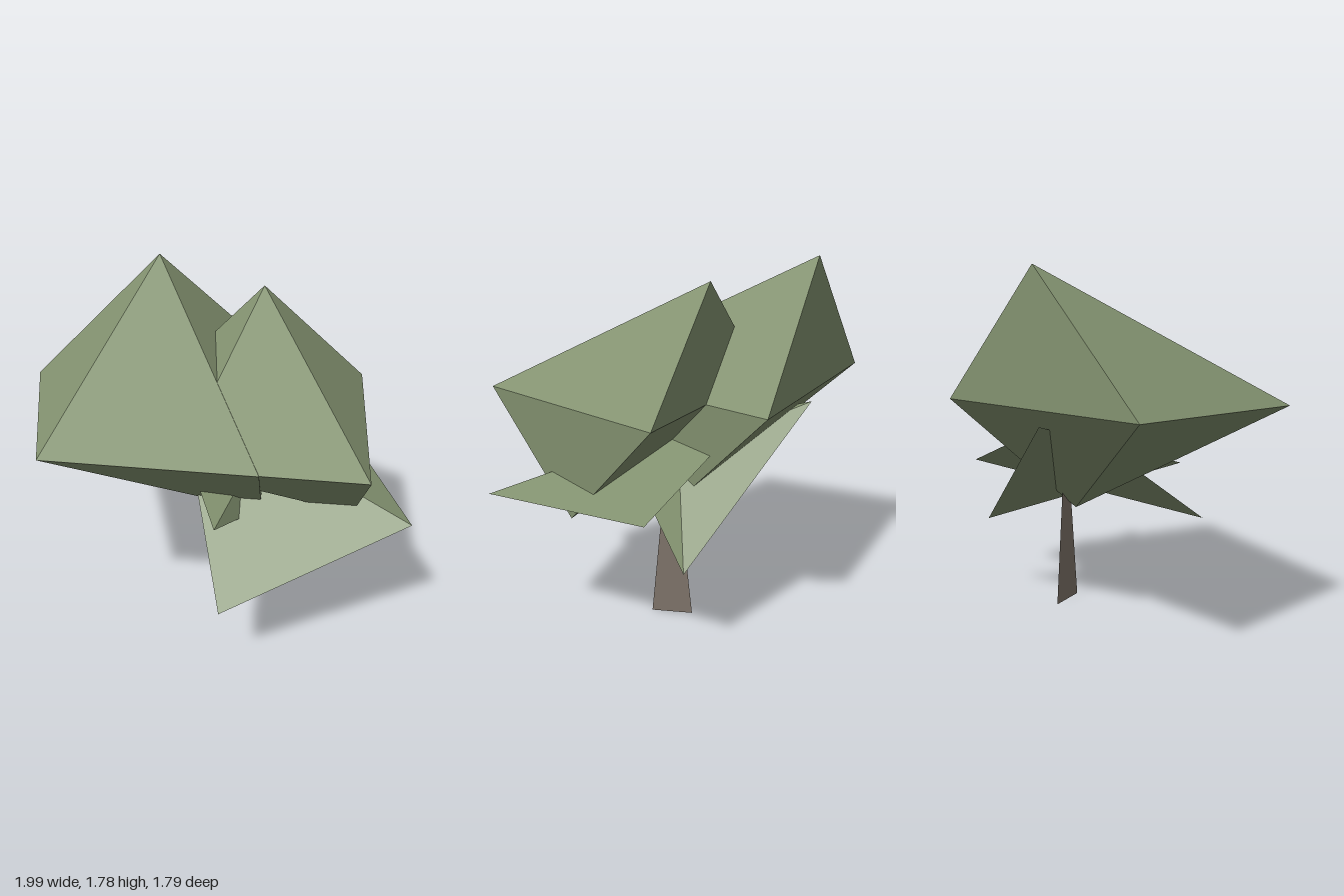
import * as THREE from 'three';
import { ConvexGeometry } from 'three/addons/geometries/ConvexGeometry.js';

const V = (x, y, z) => new THREE.Vector3(x, y, z);

export function createModel() {
  const tree = new THREE.Group();
  tree.name = 'tree';

  const leaf = new THREE.MeshStandardMaterial({ color: 0x82916f, flatShading: true });
  leaf.name = 'leaf green';
  const bark = new THREE.MeshStandardMaterial({ color: 0x80756b, flatShading: true, side: THREE.DoubleSide });
  bark.name = 'bark brown';

  const addClump = (name, points) => {
    const mesh = new THREE.Mesh(new ConvexGeometry(points), leaf);
    mesh.name = name;
    tree.add(mesh);
  };

  // Large crowns: a kite-shaped rim with leaning top and bottom points
  const kite = [
    [-0.8, 0, 0], [0, 0, 0.58], [0.8, 0, 0], [0, 0, -1.1],
    [-0.38, 0.63, -0.54], [0.38, -0.63, -0.54],
  ];
  const crown = (name, scale, x, y, z) =>
    addClump(name, kite.map((p) => V(...p).multiplyScalar(scale).add(V(x, y, z))));
  crown('mainCrown', 1, -0.2, 1.15, 0.32);
  crown('rearCrown', 0.85, 0.3, 1.15, 0.04);

  // Drooping lower foliage: four-cornered wedges rooted inside the crowns
  addClump('frontLowerFoliage', [
    V(0.5, 0.41, 0.46), V(0.99, 0.74, -0.37), V(0.33, 0.74, -0.86), V(-0.36, 1.09, -0.14),
  ]);
  addClump('backLowerFoliage', [
    V(0.146, 0.44, -0.72), V(0.355, 0.76, 0.34), V(-0.58, 1.07, -0.2), V(0.1, 0.85, -0.27),
  ]);

  // Trunk: a flat tapering blade, turned slightly about the vertical
  const trunkShape = new THREE.Shape([
    new THREE.Vector2(-0.103, 0), new THREE.Vector2(0.103, 0),
    new THREE.Vector2(0.025, 0.78), new THREE.Vector2(-0.025, 0.78),
  ]);
  const trunk = new THREE.Mesh(new THREE.ShapeGeometry(trunkShape), bark);
  trunk.name = 'trunk';
  trunk.position.set(0.137, 0, -0.262);
  trunk.rotation.y = -0.32;
  tree.add(trunk);

  return tree;
}
